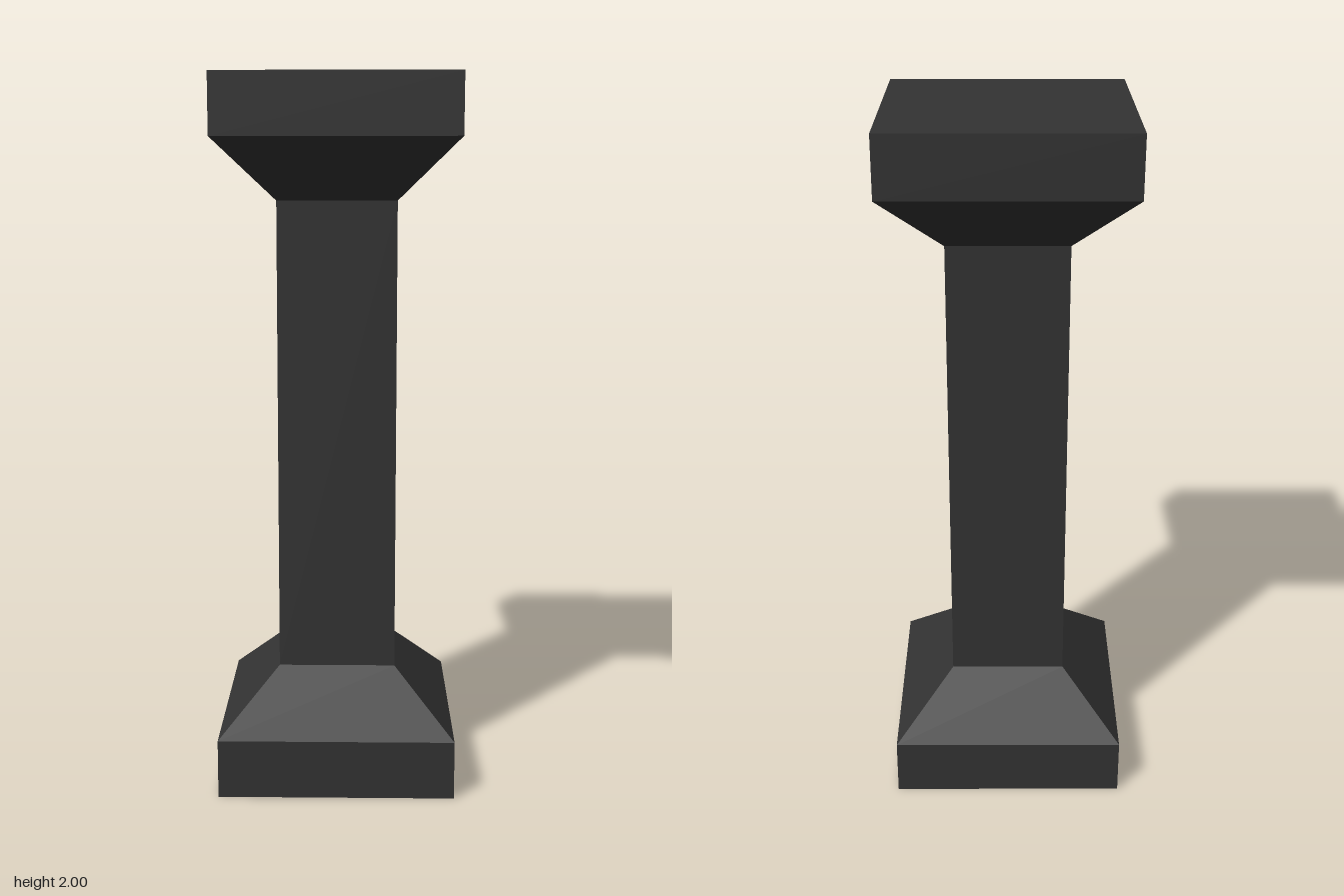
import * as THREE from 'three';

export function createModel() {
  const model = new THREE.Group();
  model.name = 'pillar';
  const stone = new THREE.MeshStandardMaterial({
    color: 0x333333, flatShading: true, side: THREE.DoubleSide,
  });
  stone.name = 'dark stone';

  const wide = 1 / 3;
  const narrow = 1 / 6;

  // Open square sleeve between two heights, with half-widths at bottom and top
  function addSleeve(name, y0, y1, bottom, top) {
    const height = y1 - y0;
    const tube = new THREE.CylinderGeometry(
      top * Math.SQRT2, bottom * Math.SQRT2, height, 4, 1, true);
    tube.rotateY(Math.PI / 4);
    const geometry = tube.toNonIndexed();
    geometry.computeVertexNormals();
    const mesh = new THREE.Mesh(geometry, stone);
    mesh.name = name;
    mesh.position.y = y0 + height / 2;
    model.add(mesh);
  }

  // Hollow shell, open at the foot
  addSleeve('basePlinth', 0, 1 / 6, wide, wide);
  addSleeve('baseSlope', 1 / 6, 1 / 3, wide, narrow);
  addSleeve('shaft', 1 / 3, 5 / 3, narrow, narrow);
  addSleeve('capitalSlope', 5 / 3, 11 / 6, narrow, wide);
  addSleeve('capitalBlock', 11 / 6, 2, wide, wide);

  // Flat top closing the shell
  const top = new THREE.Mesh(new THREE.PlaneGeometry(2 * wide, 2 * wide), stone);
  top.name = 'capitalTop';
  top.rotation.x = -Math.PI / 2;
  top.position.y = 2;
  model.add(top);

  return model;
}
